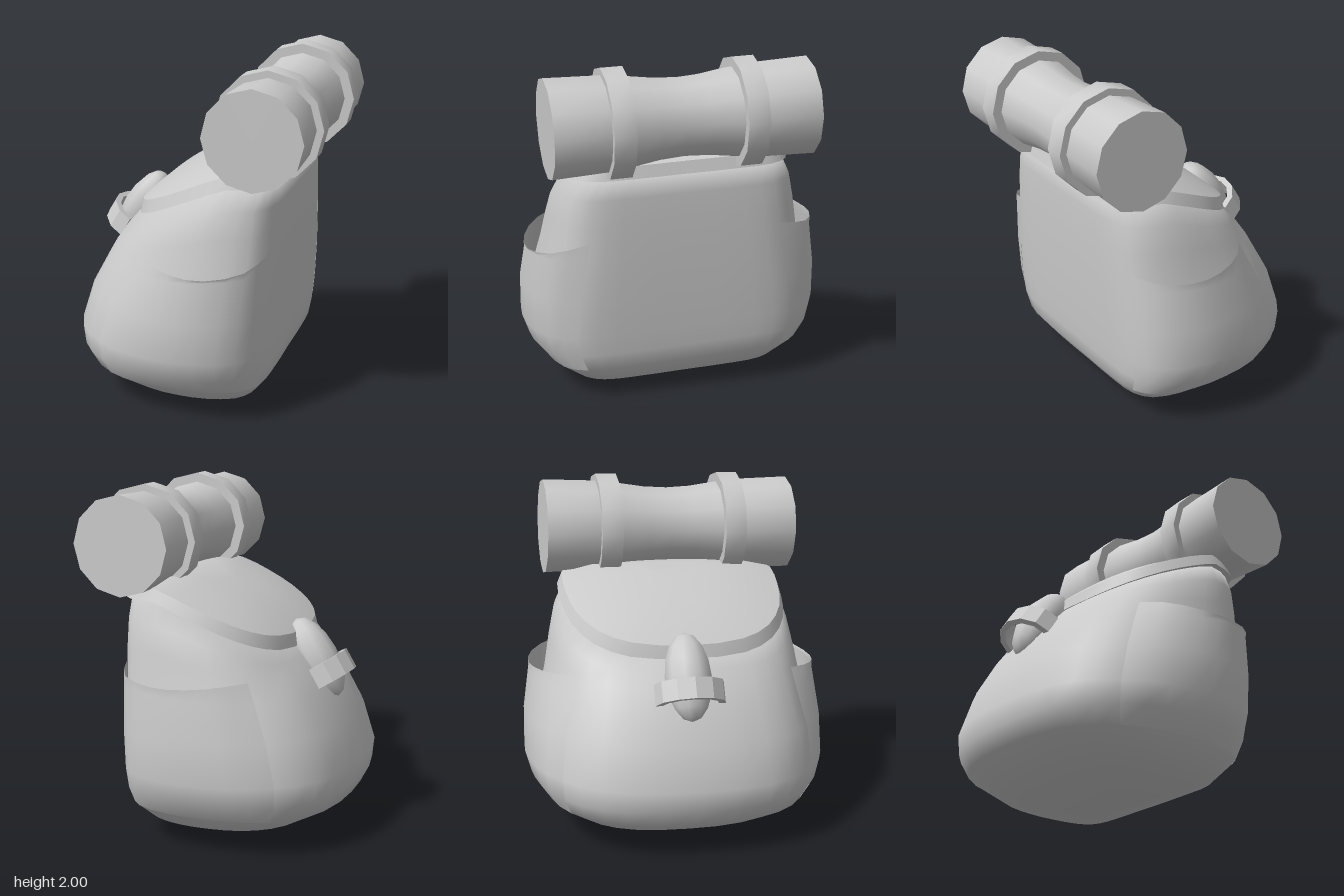
import * as THREE from 'three';
import { toCreasedNormals } from 'three/addons/utils/BufferGeometryUtils.js';

const N = 36; // columns around the bag
const grey = () => new THREE.MeshStandardMaterial({ color: 0xcccccc });

// D-shaped section: x as a share of half width, t from front (0) to back (1)
const half = [[0, 0], [0.5, 0], [0.76, 0.02], [0.92, 0.1], [1, 0.28], [1, 0.48],
  [0.94, 0.68], [0.78, 0.85], [0.5, 0.96], [0, 1]];
const outline = [...half, ...half.slice(1, -1).reverse().map(([x, t]) => [-x, t])];
const section = new THREE.CatmullRomCurve3(
  outline.map(([x, t]) => new THREE.Vector3(x, 0, t)), true);

// Levels of the bag: height, half width, front z, back z
const levels = [
  [0, 0.22, 0.06, -0.2], [0.035, 0.47, 0.19, -0.42], [0.09, 0.63, 0.3, -0.58],
  [0.2, 0.77, 0.38, -0.77], [0.3, 0.82, 0.395, -0.82], [0.42, 0.835, 0.405, -0.83],
  [0.65, 0.805, 0.42, -0.755], [0.9, 0.75, 0.43, -0.645], [1.1, 0.72, 0.435, -0.575],
  [1.25, 0.69, 0.435, -0.51], [1.38, 0.63, 0.43, -0.44]];

// Height of the sloping mouth of the bag at a given z
function mouthY(z) {
  const s = THREE.MathUtils.clamp((0.2 - z) / 0.65, 0, 1);
  return 1.38 - 0.29 * Math.pow(s, 1.12);
}

// Point on the bag wall at column k and height h
function wall(k, h) {
  let i = 0;
  while (i < levels.length - 2 && h > levels[i + 1][0]) i++;
  const a = levels[i], b = levels[i + 1], f = (h - a[0]) / (b[0] - a[0]);
  const [w, zf, zb] = [1, 2, 3].map(j => THREE.MathUtils.lerp(a[j], b[j], f));
  const p = section.getPoint((k % N) / N);
  const z = THREE.MathUtils.lerp(zf, zb, p.z);
  const y = h > 0.8 ? 0.8 + (h - 0.8) * (mouthY(z) - 0.8) / 0.58 : h;
  return new THREE.Vector3(p.x * w, y, z);
}

// Skin over rows of points; optional centre points close the first and last row
function loft(rows, closed, bottom, top) {
  const n = rows[0].length, pos = rows.flat().flatMap(p => [p.x, p.y, p.z]), idx = [];
  const cols = closed ? n : n - 1;
  for (let j = 0; j < rows.length - 1; j++) {
    for (let k = 0; k < cols; k++) {
      const a = j * n + k, b = j * n + (k + 1) % n;
      idx.push(a, b, b + n, a, b + n, a + n);
    }
  }
  const cap = (c, base, flip) => {
    const id = pos.length / 3;
    pos.push(c.x, c.y, c.z);
    for (let k = 0; k < n; k++) {
      const a = base + k, b = base + (k + 1) % n;
      idx.push(...(flip ? [b, a, id] : [a, b, id]));
    }
  };
  if (bottom) cap(bottom, 0, true);
  if (top) cap(top, (rows.length - 1) * n, false);
  const g = new THREE.BufferGeometry();
  g.setAttribute('position', new THREE.Float32BufferAttribute(pos, 3));
  g.setIndex(idx);
  g.computeVertexNormals();
  return g;
}

function add(parent, name, geometry, material = grey()) {
  const m = new THREE.Mesh(geometry, material);
  m.name = name;
  parent.add(m);
  return m;
}

// Turned shape lying along x
function turned(profile) {
  const g = new THREE.LatheGeometry(profile.map(([r, s]) => new THREE.Vector2(r, s)), 12);
  return toCreasedNormals(g.rotateZ(-Math.PI / 2), 0.7);
}

export function createModel() {
  const model = new THREE.Group();
  model.name = 'backpack';
  const bag = new THREE.Group();
  bag.name = 'bag';
  bag.position.set(0.04, 0.004, 0);
  bag.rotation.set(0, 0.31, 0.024);
  model.add(bag);
  const columns = [...Array(N).keys()];

  // Main sack
  const rows = levels.map(l => columns.map(k => wall(k, l[0])));
  add(bag, 'sack', loft(rows, true, new THREE.Vector3(0, 0, -0.07), new THREE.Vector3(0, 1.3, -0.02)));

  // Lid: a slanted rim and a shallow dome following the sloping mouth
  const lidRow = (scale, lift) => columns.map(k => {
    const p = wall(k, 1.38);
    const z = -0.02 + (p.z + 0.02) * scale;
    return new THREE.Vector3(p.x * scale, mouthY(z) + lift, z);
  });
  const lid = loft([[0.98, -0.015], [1.055, -0.01], [1.015, 0.06], [0.75, 0.1], [0.4, 0.12]]
    .map(r => lidRow(...r)), true, null, new THREE.Vector3(0, mouthY(-0.02) + 0.125, -0.02));
  add(bag, 'lid', toCreasedNormals(lid, 0.5));

  // Side pockets: open shells swelling out of the wall
  for (const [name, start, flip, drop] of [['leftPocket', 4, false, 0], ['rightPocket', N - 13, true, 0.03]]) {
    const shell = [0.2, 0.3, 0.42, 0.65, 0.9, 1].map(h => [...Array(10).keys()].map(c => {
      const u = flip ? 1 - c / 9 : c / 9, v = (h - 0.2) / 0.8;
      const arch = Math.max(0, Math.sin(Math.PI * u));
      const top = 1 - (0.09 + drop) * arch + 0.08 * u;
      const p = wall(start + c, h === 1 ? top : Math.min(h, top - 0.01));
      p.x *= 1.003 + (0.14 + drop / 2) * Math.pow(arch, 0.75) * Math.pow(v, 0.75);
      p.z *= 1.003;
      return p;
    }));
    const material = grey();
    material.side = THREE.DoubleSide;
    add(bag, name, loft(shell, false), material);
  }

  // Toggle and its half-round loop, lying on the sloping rear
  const clasp = new THREE.Group();
  clasp.name = 'clasp';
  clasp.position.set(0.025, 0.995, -0.545);
  clasp.rotation.x = 0.55;
  bag.add(clasp);
  add(clasp, 'toggle', new THREE.SphereGeometry(1, 10, 8).scale(0.135, 0.255, 0.12));
  const arc = new THREE.Shape();
  arc.absarc(0, 0, 0.2, 0, Math.PI, false);
  arc.absarc(0, 0, 0.16, Math.PI, 0, true);
  const loop = new THREE.ExtrudeGeometry(arc, { depth: 0.12, bevelEnabled: false, curveSegments: 3 });
  loop.rotateX(-Math.PI / 2).translate(0, -0.155, 0).scale(1, 1, 0.85);
  add(clasp, 'toggleLoop', loop);

  // Rolled mat with a pinched middle, tied by two bands
  const roll = new THREE.Group();
  roll.name = 'bedroll';
  roll.position.set(0.098, 1.68, 0.37);
  roll.rotation.set(0, 0.31, 0.024);
  model.add(roll);
  const matHalf = [[0.282, 0.745], [0.27, 0.4], [0.253, 0.28], [0.232, 0.14]];
  add(roll, 'mat', turned([[0, -0.745], ...matHalf.map(([r, s]) => [r, -s]), [0.224, 0],
    ...[...matHalf].reverse(), [0, 0.745]]));
  for (const [name, s] of [['rightBand', -0.37], ['leftBand', 0.37]]) {
    const band = turned([[0.25, -0.062], [0.312, -0.062], [0.312, 0.062], [0.25, 0.062], [0.25, -0.062]]);
    add(roll, name, band).position.x = s;
  }
  return model;
}
